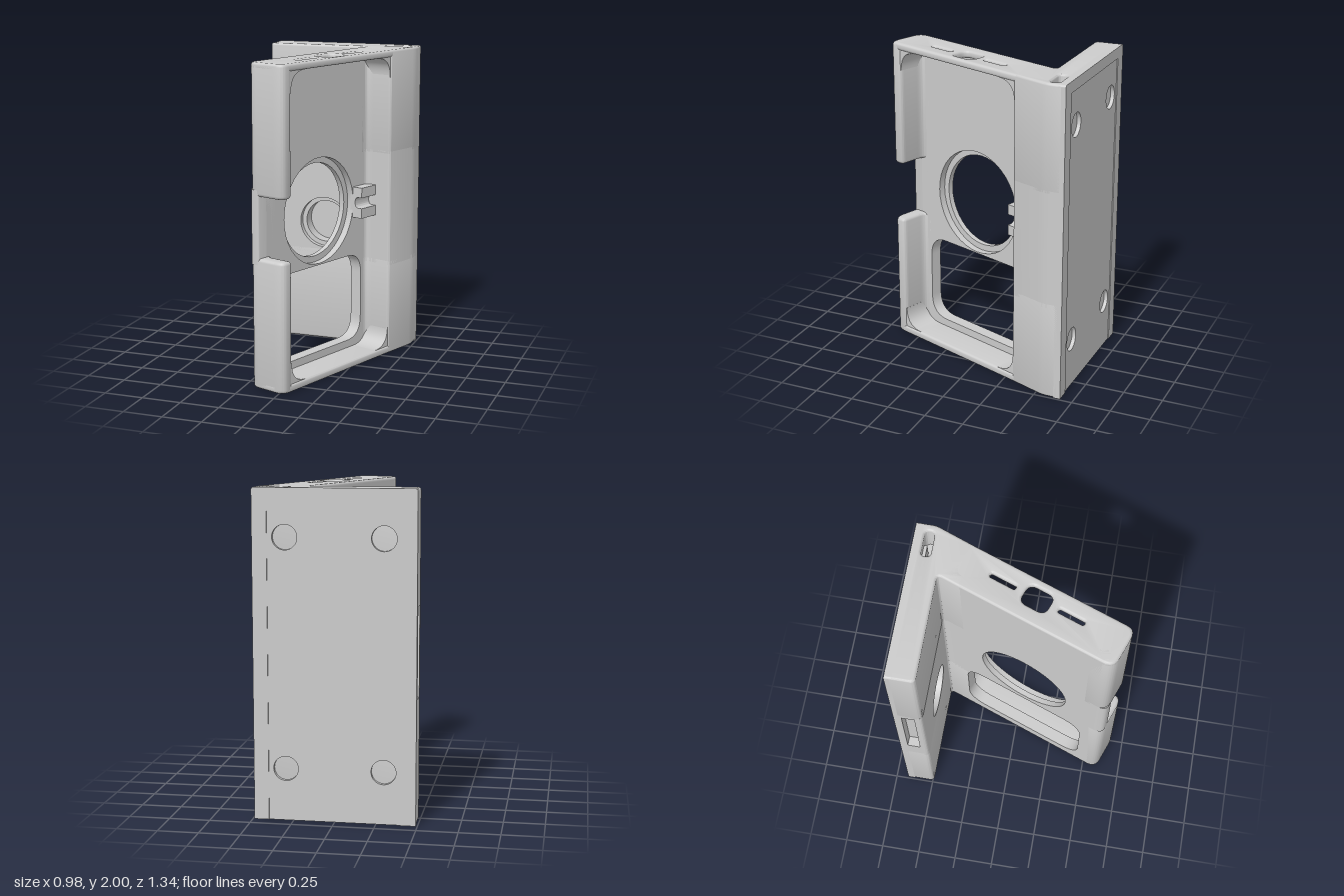
import * as THREE from 'three';
import { toCreasedNormals } from 'three/addons/utils/BufferGeometryUtils.js';

const TILT = THREE.MathUtils.degToRad(20);
const BEVEL = 0.015;
const T = 0.268;          // arm thickness
const FLOOR = 0.08;       // pocket floor level
const END = 0.63;         // front end of the arm
const REAR = -0.427, FRONT = 0.54;   // pocket ends along the arm
const MID = 0.056;        // pocket centre along the arm
const mat = new THREE.MeshStandardMaterial({ color: 0xcccccc });

// Closed shape from [x, y, cornerRadius] points
function rounded(pts) {
  const s = new THREE.Shape();
  const n = pts.length;
  pts.forEach(([x, y, r = 0], i) => {
    const toward = ([px, py]) => {
      const d = Math.hypot(px - x, py - y), k = Math.min(r, d * 0.5) / d;
      return [x + (px - x) * k, y + (py - y) * k];
    };
    const a = toward(pts[(i + n - 1) % n]), b = toward(pts[(i + 1) % n]);
    if (i === 0) s.moveTo(...a); else s.lineTo(...a);
    if (r) s.quadraticCurveTo(x, y, ...b);
  });
  s.closePath();
  return s;
}
const rect = (x0, x1, y0, y1, r = 0) => rounded([[x0, y0, r], [x1, y0, r], [x1, y1, r], [x0, y1, r]]);
function circle(x, y, r) {
  const s = new THREE.Shape();
  s.absarc(x, y, r, 0, Math.PI * 2);
  return s;
}
const flipX = pts => pts.map(([x, y, r]) => [-x, y, r]);
const flipY = pts => pts.map(([x, y, r]) => [x, -y, r]);

// Extrusion from depth a to b, kept inside its outline when bevelled
function extrude(shape, holes, a, b, bevel = 0) {
  shape.holes.push(...holes);
  const g = new THREE.ExtrudeGeometry(shape, {
    depth: b - a - 2 * bevel, curveSegments: 20, bevelEnabled: bevel > 0,
    bevelThickness: bevel, bevelSize: bevel, bevelOffset: -bevel, bevelSegments: 3,
  });
  return g.translate(0, 0, a + bevel);
}
function add(group, name, geo) {
  const m = new THREE.Mesh(toCreasedNormals(geo, 0.6), mat);
  m.name = name;
  group.add(m);
}
// Plan outline (x, z) raised in y
const raise = (pts, y0, y1, bevel = 0, holes = []) =>
  extrude(rounded(flipY(pts)), holes, y0, y1, bevel).rotateX(-Math.PI / 2);
// Side outline (along arm, y) thickened across the arm
const across = (pts, w0, w1, holes = []) =>
  extrude(rounded(flipX(pts)), holes, w0, w1).rotateY(Math.PI / 2);

function buildBase(base) {
  const L = (u, w, r = 0) => [
    w * Math.cos(TILT) - u * Math.sin(TILT),
    w * Math.sin(TILT) + u * Math.cos(TILT), r];
  const armRoot = [
    [0.49, -0.64], [0.49, -0.55, 0.03], L(REAR, T, 0.02), L(REAR, FLOOR, 0.05),
    L(-0.372, FLOOR), L(-0.372, 0), [0.178, -0.49, 0.03],
  ];
  const plan = [[-0.49, -0.64], ...armRoot, [-0.49, -0.49, 0.03]];
  // Middle band leaves room for the round recess and the side slot
  const bandPlan = [
    [-0.49, -0.64], ...armRoot, [0.1, -0.49], [0.1, -0.62], [-0.34, -0.62], [-0.34, -0.49],
    [-0.49, -0.49, 0.03], [-0.49, -0.54], [-0.43, -0.54], [-0.43, -0.62], [-0.49, -0.62],
  ];
  const cornerHole = () => rect(0.285, 0.445, 0.55, 0.61, 0.03);
  add(base, 'lowerBase', raise(plan, 0, 0.64, BEVEL));
  add(base, 'middleBase', raise(bandPlan, 0.6, 1.35));
  add(base, 'upperBase', raise(plan, 1.32, 2, BEVEL, [cornerHole()]));

  // Stepped floor of the corner hole
  add(base, 'cornerHoleFloor', extrude(rect(0.25, 0.47, 0.53, 0.63), [], 1.33, 1.82).rotateX(-Math.PI / 2));
  add(base, 'cornerHoleStep', extrude(rect(0.26, 0.385, 0.59, 0.63), [], 1.8, 1.92).rotateX(-Math.PI / 2));

  // Ends of the side slot
  for (const [y0, y1] of [[0.6, 0.76], [1.31, 1.35]]) {
    add(base, 'slotEnd', extrude(rect(-0.49, -0.42, y0, y1), [], -0.625, -0.535));
  }

  // Round stepped recess in the front of the base
  for (const [r, z0, z1] of [[0.14, -0.625, -0.53], [0.17, -0.53, -0.49]]) {
    add(base, 'roundRecess', extrude(rect(-0.345, 0.105, 0.6, 1.35), [circle(-0.11, 0.81, r)], z0, z1));
  }

  // Back border, open at the bottom, around a slightly sunken panel with four foot recesses
  const border = rounded([
    [-0.49, 0], [-0.4, 0], [-0.4, 1.93], [0.4, 1.93], [0.4, 0], [0.49, 0],
    [0.49, 2, 0.015], [-0.49, 2, 0.015],
  ]);
  add(base, 'backBorder', extrude(border, [], -0.67, -0.625));
  const feet = [];
  for (const x of [-0.295, 0.295]) for (const y of [0.32, 1.71]) feet.push(circle(x, y, 0.075));
  add(base, 'backPanel', extrude(rect(-0.4, 0.4, 0, 1.93), feet, -0.664, -0.625));
}

// The arm is built with x across its thickness and z along its length
function buildArm(arm) {
  // Floor of the pocket: round seat with a smaller hole behind it, and a window
  const floor = [[-0.4, 0.02], [0.56, 0.02], [0.56, 1.98], [-0.4, 1.98]];
  for (const [r, w0, w1] of [[0.3, 0, 0.035], [0.34, 0.035, FLOOR]]) {
    const win = rect(-0.48, 0.368, 0.1, 0.67, 0.14);
    add(arm, 'pocketFloor', across(floor, w0, w1, [circle(-MID, 1.02, r), win]));
  }

  // Top and bottom walls, the top one with a port opening and two slots
  const cap = [[0, -0.47], [T, -0.47], [T, END, 0.07], [0, END, 0.07]];
  const hole = (u, hw, hu, r) => rect(0.156 - hw, 0.156 + hw, -u - hu, -u + hu, r);
  const openings = [
    hole(0.05, 0.065, 0.085, 0.05), hole(-0.174, 0.014, 0.085, 0.014), hole(0.275, 0.014, 0.085, 0.014),
  ];
  add(arm, 'bottomWall', raise(cap, 0, 0.05, BEVEL));
  add(arm, 'topWall', raise(cap, 1.955, 2, BEVEL, openings));

  // Front wall in two pieces with a low sill in the gap between them
  const wall = [
    [0, 0.485], [FLOOR, 0.485], [FLOOR, FRONT, 0.05], [T, FRONT, 0.03], [T, END, 0.07], [0, END, 0.07],
  ];
  add(arm, 'frontWallLower', raise(wall, 0, 0.82, 0.02));
  add(arm, 'frontWallUpper', raise(wall, 1.2, 2, 0.02));
  add(arm, 'frontSill', raise([[0, 0.485], [FLOOR, 0.485], [FLOOR, END, 0.01], [0, END, 0.07]], 0.78, 1.24));

  // Rounded inner corners of the pocket
  const hu = (FRONT - REAR) / 2, hy = 0.9525, R = 0.13;
  for (const su of [-1, 1]) for (const sy of [-1, 1]) {
    const p = (a, b, r = 0) => [MID + su * (hu + a), 1.0025 + sy * (hy + b), r];
    const corner = [p(0.02, 0.02), p(0.02, -R), p(0, -R), p(0, 0, R * 2), p(-R, 0), p(-R, 0.02)];
    // Full-length curve between the two walls
    const s = new THREE.Shape();
    corner.slice(0, 3).forEach(([u, y], i) => (i ? s.lineTo(-u, y) : s.moveTo(-u, y)));
    s.quadraticCurveTo(-corner[3][0], corner[3][1], -corner[4][0], corner[4][1]);
    s.lineTo(-corner[5][0], corner[5][1]);
    s.closePath();
    add(arm, 'pocketCorner', extrude(s, [], FLOOR - 0.01, T - 0.008).rotateY(Math.PI / 2));
  }

  // Grooved cable rest between the rear wall and the round seat
  const rest = rounded([
    [0.06, 0.92], [0.153, 0.92], [0.153, 0.985], [0.1, 0.985, 0.03],
    [0.1, 1.055, 0.03], [0.153, 1.055], [0.153, 1.12], [0.06, 1.12],
  ]);
  add(arm, 'cableRest', extrude(rest, [], -0.44, -0.28));
}

export function createModel() {
  const model = new THREE.Group();
  model.name = 'phoneStand';
  const base = new THREE.Group();
  base.name = 'base';
  buildBase(base);
  const arm = new THREE.Group();
  arm.name = 'arm';
  arm.rotation.y = -TILT;
  buildArm(arm);
  model.add(base, arm);
  return model;
}
